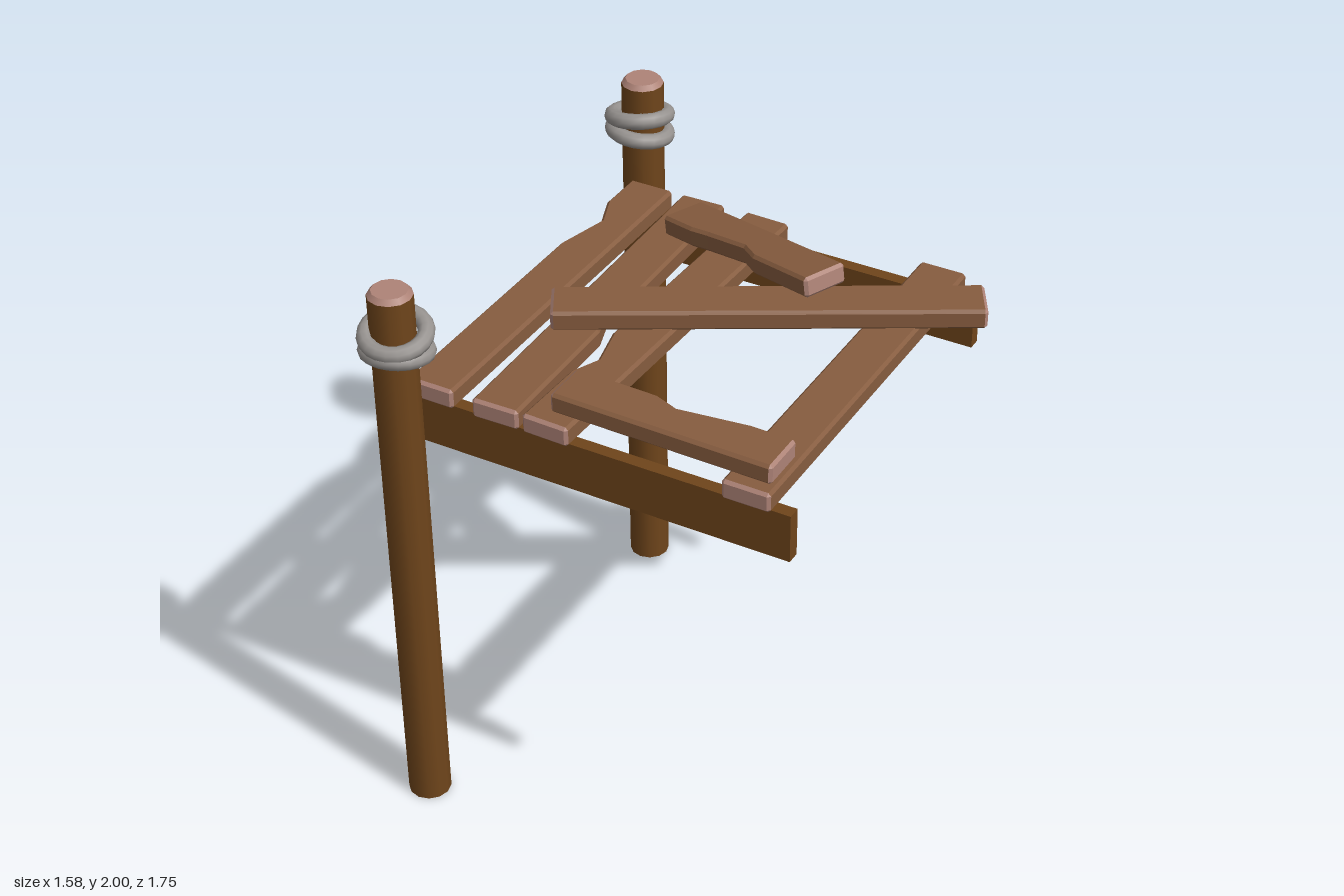
import * as THREE from 'three';

const mat = (name, color) => {
  const m = new THREE.MeshStandardMaterial({ color });
  m.name = name;
  return m;
};

export function createModel() {
  const postWood = mat('post wood', 0x6f451b);
  const plankWood = mat('plank wood', 0x865c3f);
  const cutWood = mat('cut wood', 0xae8377);
  const ropeGrey = mat('rope grey', 0x979390);

  const model = new THREE.Group();
  model.name = 'brokenDock';

  const add = (parent, name, geometry, material, x = 0, y = 0, z = 0) => {
    const mesh = new THREE.Mesh(geometry, material);
    mesh.name = name;
    mesh.position.set(x, y, z);
    parent.add(mesh);
    return mesh;
  };

  // Flat-shaded mesh from a list of triangle corners
  const addFacets = (parent, name, points, material) => {
    const g = new THREE.BufferGeometry().setFromPoints(points);
    g.computeVertexNormals();
    add(parent, name, g, material);
  };

  // Chamfered plank from a to b; each notch is [t, inset on -x side, inset on +x side]
  function plank(name, a, b, notches = [], width = 0.162, thick = 0.069) {
    const group = new THREE.Group();
    group.name = name;
    const start = new THREE.Vector3(...a), end = new THREE.Vector3(...b);
    const length = start.distanceTo(end), c = 0.01, h = thick / 2;

    const ring = (z, lo, hi, inset) => {
      const l = -width / 2 + lo, r = width / 2 - hi, k = inset ? c : 0;
      return [
        [r - k, -h + c], [r - k, h - c], [r - c, h - k], [l + c, h - k],
        [l + k, h - c], [l + k, -h + c], [l + c, -h + k], [r - c, -h + k],
      ].map(([x, y]) => new THREE.Vector3(x, y, z));
    };
    const rings = [
      ring(0, 0, 0, true), ring(c, 0, 0),
      ...notches.map(([t, lo, hi]) => ring(t * length, lo, hi)),
      ring(length - c, 0, 0), ring(length, 0, 0, true),
    ];

    // Long sides in plank wood; end faces and their chamfers in cut wood
    const faces = [], ends = [];
    for (let i = 0; i < rings.length - 1; i++) {
      const list = i === 0 || i === rings.length - 2 ? ends : faces;
      for (let j = 0; j < 8; j++) {
        const k = (j + 1) % 8, p = rings[i], q = rings[i + 1];
        list.push(p[j], p[k], q[k], p[j], q[k], q[j]);
      }
    }
    const first = rings[0], last = rings[rings.length - 1];
    for (let j = 1; j < 7; j++) {
      ends.push(first[0], first[j + 1], first[j], last[0], last[j], last[j + 1]);
    }
    addFacets(group, 'plankFaces', faces, plankWood);
    addFacets(group, 'plankEnds', ends, cutWood);

    group.position.copy(start);
    group.lookAt(end);
    model.add(group);
  }

  // Posts with cut tops and two tilted rope loops each
  // loop: [y, tilt about x, tilt about z]
  const posts = [
    { name: 'front', z: 0.756, ropeX: -0.65, loops: [[1.788, -0.18, 0.03], [1.848, 0.22, -0.06]] },
    { name: 'back', z: -0.756, ropeX: -0.673, loops: [[1.797, -0.14, -0.08], [1.858, -0.18, 0.12]] },
  ];
  for (const { name, z, ropeX, loops } of posts) {
    const post = new THREE.Group();
    post.name = name + 'Post';
    add(post, 'shaft', new THREE.CylinderGeometry(0.072, 0.072, 1.983, 12), postWood, -0.66, 0.9915, z);
    add(post, 'cutTop', new THREE.CylinderGeometry(0.058, 0.072, 0.017, 12), cutWood, -0.66, 1.9915, z);
    for (const [y, tiltX, tiltZ] of loops) {
      const geo = new THREE.TorusGeometry(0.094, 0.027, 10, 20).rotateX(Math.PI / 2);
      add(post, 'ropeLoop', geo, ropeGrey, ropeX, y, z).rotation.set(tiltX, 0, tiltZ);
    }
    model.add(post);
  }

  // Support beams
  add(model, 'frontBeam', new THREE.BoxGeometry(1.33, 0.167, 0.044), postWood, -0.007, 1.504, 0.667);
  add(model, 'backBeam', new THREE.BoxGeometry(1.33, 0.167, 0.044), postWood, -0.007, 1.504, -0.625);

  // Deck planks running front to back
  const deck = (name, xBack, xFront, notches) =>
    plank(name, [xBack, 1.62, -0.668], [xFront, 1.62, 0.708], notches);
  deck('outerDeckPlank', -0.576, -0.576, [[0.12, 0, 0], [0.205, 0.045, 0], [0.34, 0, 0]]);
  deck('secondDeckPlank', -0.375, -0.343, [[0.43, 0, 0], [0.49, 0, 0.03], [0.56, 0, 0.03], [0.63, 0, 0]]);
  deck('thirdDeckPlank', -0.13, -0.167, [[0.62, 0, 0], [0.73, 0.04, 0], [0.8, 0, 0]]);
  deck('farDeckPlank', 0.517, 0.517, [[0.12, 0, 0], [0.19, 0.045, 0], [0.25, 0.04, 0], [0.33, 0, 0]]);

  // Loose planks lying on the deck
  plank('diagonalPlank', [-0.446, 1.687, 0.205], [0.753, 1.687, -0.466]);
  plank('frontLoosePlank', [-0.168, 1.7, 0.588], [0.58, 1.688, 0.585],
    [[0.38, 0, 0.003], [0.49, 0, 0.033], [0.8, 0, 0]]);
  plank('raisedLoosePlank', [-0.353, 1.684, -0.484], [0.322, 1.803, -0.192],
    [[0.2, 0, 0], [0.3, 0.012, 0], [0.53, 0.03, 0], [0.64, 0.002, 0]]);

  return model;
}
